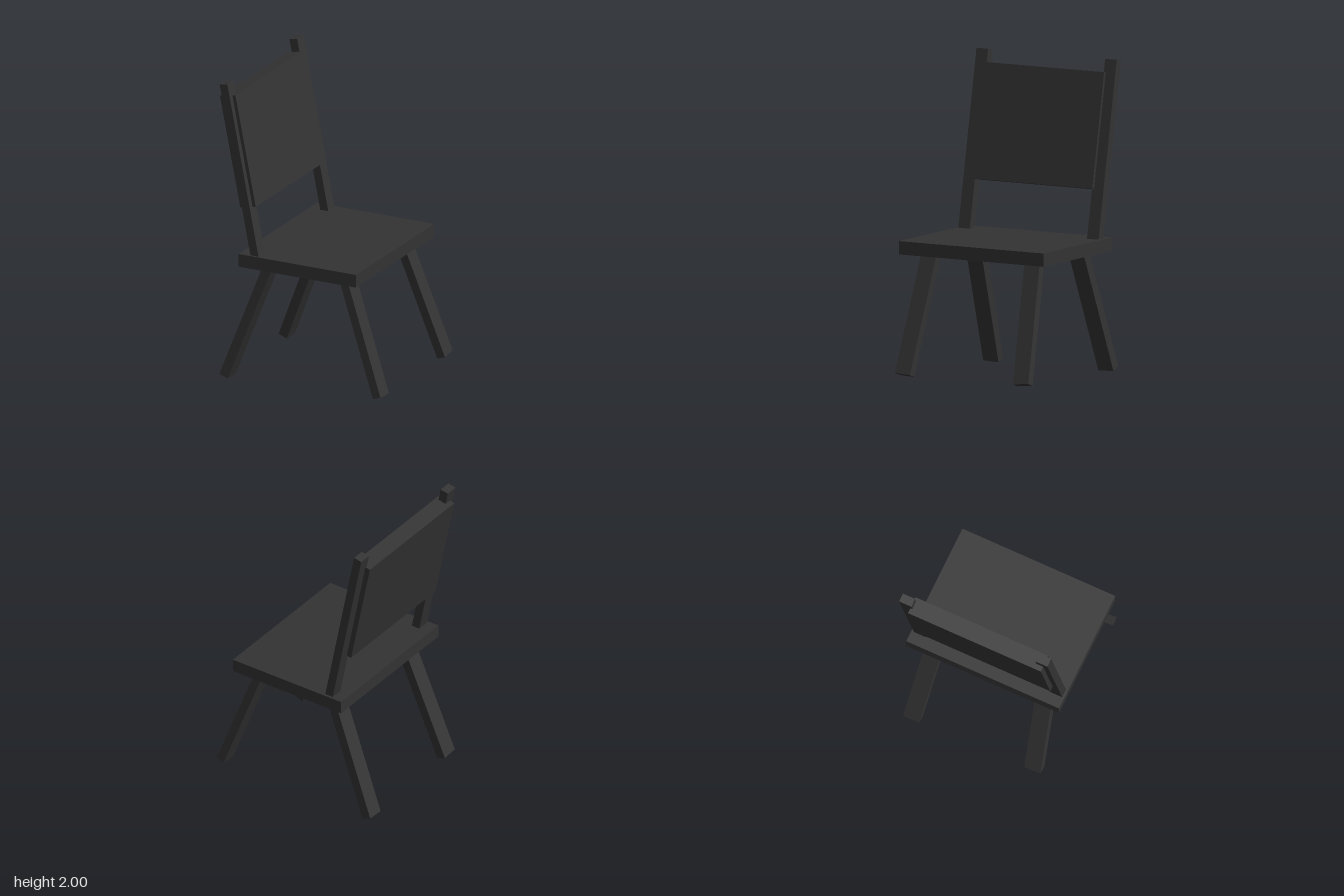
import * as THREE from 'three';

export function createModel() {
  const group = new THREE.Group();
  const material = new THREE.MeshStandardMaterial({ color: 0x333333 });

  // Square-ended beam running from point a to point b
  function beam(name, a, b, thickness, width) {
    const start = new THREE.Vector3(...a), end = new THREE.Vector3(...b);
    const y = end.clone().sub(start);
    const length = y.length();
    y.normalize();
    const x = new THREE.Vector3().crossVectors(y, new THREE.Vector3(0, 0, 1)).normalize();
    const z = new THREE.Vector3().crossVectors(x, y);
    const mesh = new THREE.Mesh(new THREE.BoxGeometry(thickness, length, width), material);
    mesh.quaternion.setFromRotationMatrix(new THREE.Matrix4().makeBasis(x, y, z));
    mesh.position.copy(start).add(end).multiplyScalar(0.5);
    mesh.name = name;
    group.add(mesh);
  }

  // Seat slab
  const seat = new THREE.Mesh(new THREE.BoxGeometry(0.835, 0.085, 1.065), material);
  seat.position.set(0.018, 0.838, -0.002);
  seat.name = 'seat';
  group.add(seat);

  // Splayed legs, each slightly uneven
  beam('frontLegLeft', [0.555, 0.05, 0.418], [0.285, 0.82, 0.376], 0.057, 0.112);
  beam('frontLegRight', [0.555, 0.05, -0.453], [0.285, 0.82, -0.379], 0.057, 0.112);
  beam('rearLegLeft', [-0.536, 0.018, 0.422], [-0.232, 0.82, 0.376], 0.063, 0.112);
  beam('rearLegRight', [-0.552, 0.018, -0.416], [-0.238, 0.82, -0.379], 0.063, 0.112);

  // Leaning back posts
  for (const side of [1, -1]) {
    beam(side > 0 ? 'backPostLeft' : 'backPostRight',
      [-0.288, 0.85, side * 0.474], [-0.515, 1.995, side * 0.474], 0.056, 0.085);
  }

  // Thick backrest panel between the posts
  beam('backrest', [-0.36, 1.185, 0.016], [-0.505, 1.91, 0.016], 0.112, 0.925);

  return group;
}
